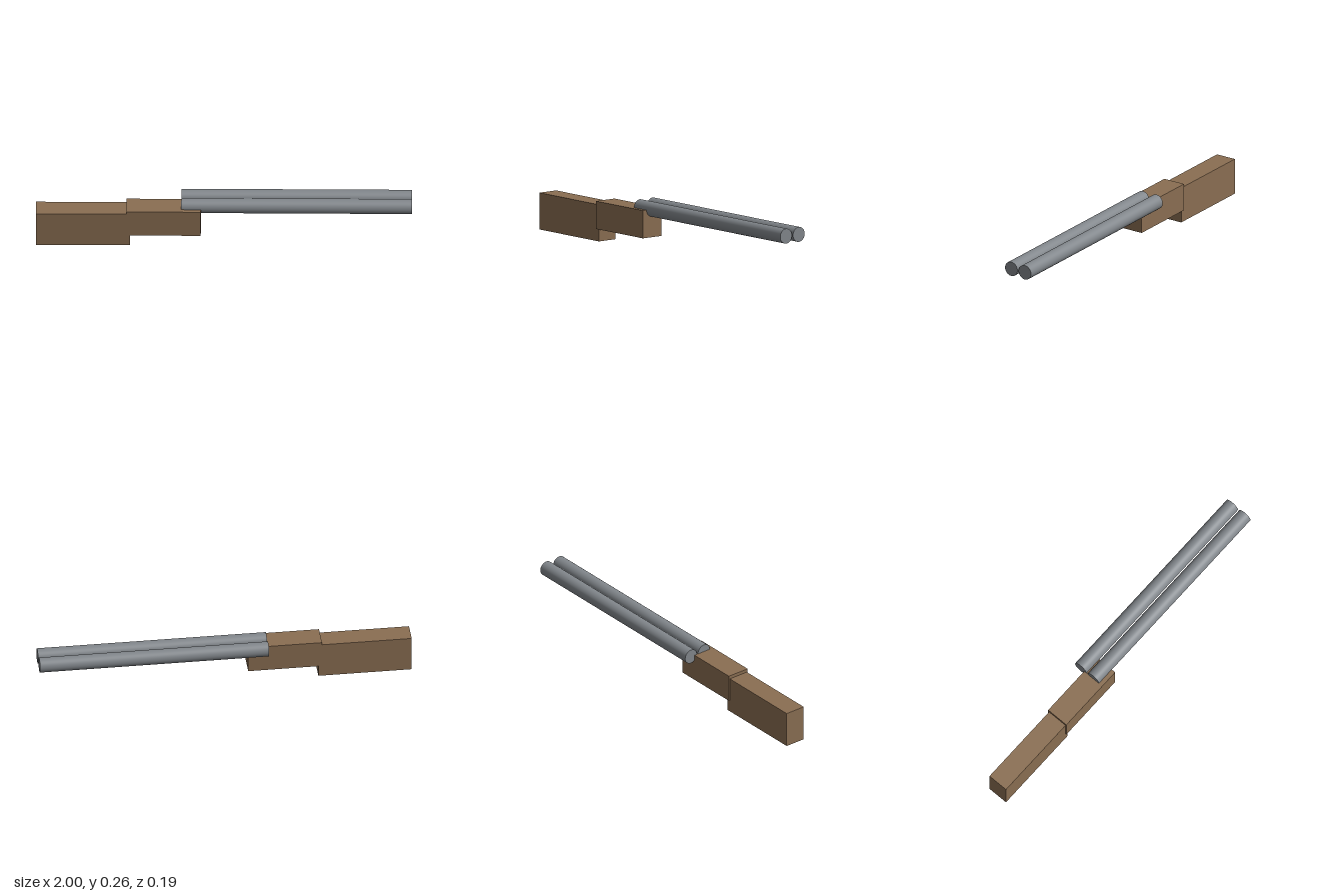
import * as THREE from 'three';

export function createModel() {
  const model = new THREE.Group();
  const wood = new THREE.MeshStandardMaterial({ color: 0x8a6e52 });
  wood.name = 'brown wood';
  const steel = new THREE.MeshStandardMaterial({ color: 0x82878c });
  steel.name = 'grey steel';

  // Box given by its [min, max] range on each axis
  function addBlock(name, [x0, x1], [y0, y1], [z0, z1]) {
    const mesh = new THREE.Mesh(new THREE.BoxGeometry(x1 - x0, y1 - y0, z1 - z0), wood);
    mesh.position.set((x0 + x1) / 2, (y0 + y1) / 2, (z0 + z1) / 2);
    mesh.name = name;
    model.add(mesh);
  }

  // Wooden body
  addBlock('stock', [-1, -0.5], [0, 0.198], [-0.025, 0.091]);
  addBlock('receiver', [-0.518, -0.123], [0.066, 0.216], [-0.031, 0.097]);

  // Side-by-side barrels along x
  const start = -0.227, end = 1;
  const barrelGeometry = new THREE.CylinderGeometry(0.04, 0.04, end - start, 32).rotateZ(-Math.PI / 2);
  for (const [name, z] of [['frontBarrel', 0.033], ['rearBarrel', -0.055]]) {
    const barrel = new THREE.Mesh(barrelGeometry, steel);
    barrel.position.set((start + end) / 2, 0.217, z);
    barrel.name = name;
    model.add(barrel);
  }

  return model;
}
